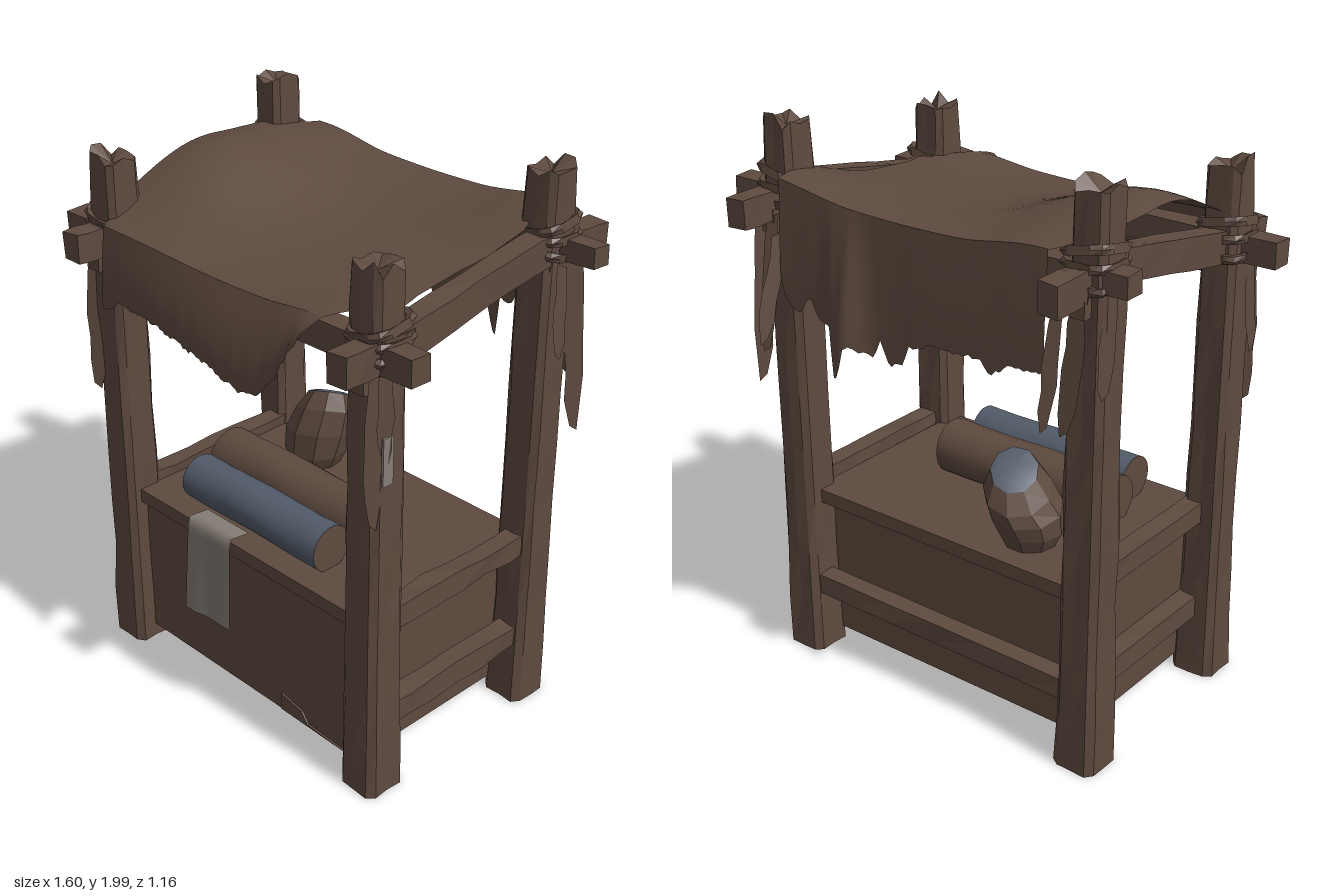
import * as THREE from 'three';

const wood = new THREE.MeshStandardMaterial({ color: 0x5e4a3f, flatShading: true });
const fabric = new THREE.MeshStandardMaterial({ color: 0x5e4a3f, side: THREE.DoubleSide });
const blueCloth = new THREE.MeshStandardMaterial({ color: 0x525b69, side: THREE.DoubleSide });
const greyCloth = new THREE.MeshStandardMaterial({ color: 0x857d74, side: THREE.DoubleSide });
wood.name = 'brown wood';
fabric.name = 'brown cloth';
blueCloth.name = 'blue cloth';
greyCloth.name = 'grey cloth';

const { lerp, clamp, smoothstep } = THREE.MathUtils;

// Repeatable noise in -1..1 that depends only on position
function noise(a, b, c) {
  const s = Math.sin(a * 127.1 + b * 311.7 + c * 74.7) * 43758.5453;
  return (s - Math.floor(s)) * 2 - 1;
}

function reshape(geo, rule) {
  const p = geo.attributes.position, v = new THREE.Vector3();
  for (let i = 0; i < p.count; i++) {
    v.fromBufferAttribute(p, i);
    rule(v);
    p.setXYZ(i, v.x, v.y, v.z);
  }
  geo.computeVertexNormals();
  return geo;
}

// Interpolates a list of [x, y] pairs
function along(pts, x) {
  for (let i = 1; i < pts.length; i++) {
    if (x <= pts[i][0]) {
      const [a, b] = [pts[i - 1], pts[i]];
      return lerp(a[1], b[1], clamp((x - a[0]) / (b[0] - a[0]), 0, 1));
    }
  }
  return pts[pts.length - 1][1];
}

export function createModel() {
  const model = new THREE.Group();
  const add = (name, geo, mat = wood, x = 0, y = 0, z = 0) => {
    const m = new THREE.Mesh(geo, mat);
    m.name = name;
    m.position.set(x, y, z);
    model.add(m);
    return m;
  };

  // Rough post: chamfered square section, flared foot, splintered top
  function post(name, foot, top, height) {
    const geo = new THREE.CylinderGeometry(1, 1, height, 12, 10).translate(0, height / 2, 0);
    reshape(geo, (v) => {
      const k = Math.round(Math.atan2(v.z, v.x) / (Math.PI / 6) + 12) % 12;
      const centre = Math.hypot(v.x, v.z) < 0.01;
      const t = v.y / height, n = noise(k, Math.round(t * 10), foot[0] + foot[1]);
      const w = along([[0, 0.079], [0.1, 0.077], [0.2, 0.071], [0.8, 0.067], [1, 0.06]], t) + n * 0.004;
      if (t > 0.99) v.y -= centre ? 0.06 : 0.03 * (1 + n);
      v.x = lerp(foot[0], top[0], t) + clamp(v.x * 1.4, -1, 1) * w;
      v.z = lerp(foot[1], top[1], t) + clamp(v.z * 1.4, -1, 1) * w;
    });
    add(name, geo);
  }
  post('frontRightPost', [-0.61, 0.376], [-0.61, 0.385], 1.89);
  post('frontLeftPost', [0.592, 0.376], [0.6, 0.385], 1.89);
  post('backRightPost', [-0.61, -0.348], [-0.622, -0.352], 2.0);
  post('backLeftPost', [0.592, -0.348], [0.608, -0.352], 1.99);

  // Hewn beam between two points
  function beam(name, a, b, w, h) {
    const from = new THREE.Vector3(...a), to = new THREE.Vector3(...b);
    const geo = new THREE.BoxGeometry(w, h, from.distanceTo(to), 1, 1, 6);
    reshape(geo, (v) => {
      const n = noise(Math.sign(v.x) + a[0], Math.sign(v.y) + a[1], Math.round(v.z * 50));
      v.x += n * 0.004;
      v.y += n * 0.005;
    });
    const m = add(name, geo);
    m.position.copy(from).add(to).multiplyScalar(0.5);
    m.lookAt(to);
  }
  beam('frontBeam', [-0.8, 1.585, 0.405], [0.79, 1.585, 0.405], 0.08, 0.09);
  beam('backBeam', [-0.76, 1.705, -0.375], [0.8, 1.705, -0.375], 0.075, 0.07);
  for (const [side, x] of [['right', -0.605], ['left', 0.63]]) {
    beam(side + 'RoofBeam', [x, 1.585, 0.38], [x, 1.72, -0.36], 0.075, 0.105);
    beam(side + 'FrontBeamEnd', [x, 1.59, 0.3], [x, 1.59, 0.575], 0.075, 0.1);
    beam(side + 'BackBeamEnd', [x, 1.685, -0.3], [x, 1.682, -0.575], 0.075, 0.1);
    beam(side + 'UpperRail', [x * 0.96, 0.64, 0.36], [x * 0.96, 0.64, -0.34], 0.07, 0.075);
    beam(side + 'LowerRail', [x * 0.96, 0.27, 0.36], [x * 0.96, 0.27, -0.34], 0.07, 0.08);
  }
  beam('backLowerRail', [-0.6, 0.27, -0.36], [0.6, 0.27, -0.36], 0.07, 0.075);

  // Rope lashings pulled tight around the squarish posts
  for (const sx of [-1, 1]) {
    for (const [z, y] of [[0.382, 1.62], [-0.352, 1.73]]) {
      [-0.035, 0.01, 0.045].forEach((dy, i) => {
        const geo = reshape(new THREE.TorusGeometry(0.09, 0.016, 5, 16), (v) => {
          v.x = clamp(v.x, -0.087, 0.087);
          v.y = clamp(v.y, -0.087, 0.087);
        });
        const rope = add('lashing', geo, wood, sx * 0.61, y + dy, z);
        rope.rotation.set(Math.PI / 2 + 0.18 * (i - 1), 0.2 * (i - 1) * sx, 0);
      });
      add('lashingKnot', new THREE.BoxGeometry(0.055, 0.08, 0.05), wood, sx * 0.617, y - 0.1, z + Math.sign(z) * 0.075);
    }
  }

  // Counter with a top overhanging the recessed back
  add('counterBody', new THREE.BoxGeometry(1.08, 0.54, 0.68), wood, -0.005, 0.32, 0.04);
  add('counterTop', new THREE.BoxGeometry(1.12, 0.05, 0.77), wood, -0.005, 0.613, 0.02);
  const patch = new THREE.Shape([[0.17, 0.055], [0.17, 0.12], [0.27, 0.1], [0.3, 0.06], [0.49, 0.05]]
    .map((p) => new THREE.Vector2(...p)).reverse());
  add('brokenBoard', new THREE.ExtrudeGeometry(patch, { depth: 0.008, bevelEnabled: false }), wood, 0, 0, 0.38);

  // Cloth sheet from a rule giving a point for u, v in 0..1
  function sheet(name, nu, nv, mat, rule) {
    const geo = new THREE.PlaneGeometry(1, 1, nu, nv);
    reshape(geo, (v) => v.set(...rule(v.x + 0.5, 0.5 - v.y)));
    return add(name, geo, mat);
  }

  // Canopy: sagging middle, raised hump at the right, torn left edge
  const canopyY = (x, z) => 1.705 - 0.1 * Math.max(z, -0.38)
    + 0.135 * Math.exp(-(((x + 0.52) / 0.33) ** 2)) * Math.max(0, Math.cos(Math.PI * (z - 0.01) / 0.95)) ** 1.7
    + 0.02 * smoothstep(-z, 0.05, 0.36)
    + 0.04 * smoothstep(x, 0.2, 0.6) * smoothstep(-z, 0, 0.4)
    + 0.03 * smoothstep(-x, 0.2, 0.5) * smoothstep(-z, 0.1, 0.4)
    + 0.02 * smoothstep(x, 0.2, 0.5) * smoothstep(z, 0.2, 0.45)
    - 0.012 * Math.exp(-((x / 0.3) ** 2));
  const leftEdge = [[-0.5, 0.52], [-0.4, 0.55], [-0.25, 0.6], [0, 0.57], [0.2, 0.58], [0.28, 0.6], [0.36, 0.54], [0.48, 0.48]];
  const rightEdge = [[-0.5, -0.54], [-0.3, -0.63], [0.3, -0.63], [0.48, -0.55]];
  sheet('canopyTop', 28, 24, fabric, (u, v) => {
    const z = lerp(-0.485, 0.48, v);
    const x = lerp(along(rightEdge, z), along(leftEdge, z), u);
    return [x, canopyY(x, z), z];
  });

  // Hanging flaps with torn hems
  function flap(name, x0, x1, z0, hem, outward) {
    sheet(name, 72, 8, fabric, (u, v) => {
      const x = lerp(x0, x1, u), yTop = canopyY(x, z0);
      const y = lerp(yTop, along(hem, x) + 0.008 * noise(Math.round(u * 72), 3, z0) * v, v);
      return [x, y, z0 + Math.sign(z0) * outward(x) * Math.sin(v * Math.PI / 2)];
    });
  }
  flap('frontFlap', -0.55, 0.48, 0.48,
    [[-0.55, 1.37], [-0.5, 1.38], [-0.46, 1.42], [-0.3, 1.42], [0, 1.39], [0.2, 1.36], [0.28, 1.38], [0.36, 1.46],
      [0.42, 1.56], [0.48, 1.64]],
    (x) => 0.025 + 0.065 * smoothstep(x, -0.6, 0.4));
  flap('backFlap', -0.54, 0.52, -0.485,
    [[-0.54, 1.42], [-0.4, 1.4], [-0.34, 1.36], [-0.3, 1.4], [-0.12, 1.39], [-0.02, 1.36], [0, 1.3], [0.06, 1.28],
      [0.09, 1.36], [0.12, 1.3], [0.21, 1.32], [0.235, 1.2], [0.26, 1.21], [0.28, 1.36], [0.36, 1.37], [0.39, 1.44],
      [0.44, 1.36], [0.5, 1.4], [0.52, 1.46]],
    (x) => 0.016 + 0.055 * Math.exp(-(((x - 0.23) / 0.07) ** 2)));

  // Torn strips hanging from the joints: x, z, top, length, width, turn, lean in x and z
  const strips = [
    [-0.66, 0.445, 1.55, 0.51, 0.065, 0.6, 0, 0.02],
    [-0.68, 0.41, 1.56, 0.32, 0.05, 1.4, -0.02, 0.02],
    [-0.69, -0.38, 1.66, 0.3, 0.06, 1.2, 0, -0.03],
    [-0.62, -0.44, 1.66, 0.42, 0.07, 0.1, 0.02, -0.04],
    [-0.57, -0.47, 1.65, 0.38, 0.05, 0.4, 0, -0.07],
    [0.68, -0.41, 1.66, 0.6, 0.07, 1.2, 0.01, -0.03],
    [0.68, -0.34, 1.66, 0.3, 0.06, 1.5, 0.02, 0.01],
    [0.6, -0.45, 1.66, 0.45, 0.06, 0.3, 0, -0.06],
    [0.54, -0.48, 1.62, 0.35, 0.06, 0.9, 0, -0.09],
    [0.68, 0.42, 1.58, 0.3, 0.05, 1.0, 0.01, 0.02],
    [0.66, 0.45, 1.55, 0.5, 0.06, 1.3, 0, 0.01],
  ];
  strips.forEach(([x, z, top, len, w, turn, lx, lz]) => sheet('tornStrip', 2, 6, fabric, (u, v) => {
    const taper = along([[0, 0.7], [0.5, 1], [0.85, 0.85], [1, 0.4]], v);
    const s = (u - 0.5) * w * taper + 0.006 * noise(Math.round(v * 6), x, z);
    return [x + s * Math.cos(turn) + lx * v, top - len * v - 0.02 * u, z - s * Math.sin(turn) + lz * v];
  }));
  add('greyStrip', new THREE.BoxGeometry(0.008, 0.16, 0.042), greyCloth, 0.692, 1.27, 0.428);

  // Grey cloth draped over the counter edge
  const drape = [[0, 0.33, 0.647], [0.15, 0.408, 0.652], [0.2, 0.416, 0.62], [1, 0.428, 0.275]];
  sheet('drapedCloth', 8, 20, greyCloth, (u, v) => [
    lerp(lerp(-0.26, -0.285, v), -0.045, u),
    along(drape.map((d) => [d[0], d[2]]), v) + 0.02 * u * v,
    along(drape.map((d) => [d[0], d[1]]), v) + 0.004 * Math.sin(u * 9) * v,
  ]);

  // Rolled bolts on the counter, each drawn over an arc of its circumference
  function bolt(name, x0, x1, y, z, r, mats, start = 0, arc = Math.PI * 2) {
    const geo = new THREE.CylinderGeometry(r, r, x1 - x0, 18, 6, false, start, arc).rotateZ(Math.PI / 2);
    reshape(geo, (v) => {
      const bump = 1 + 0.025 * Math.sin(v.x * 14 + v.y * 30);
      v.y *= bump;
      v.z *= bump;
    });
    add(name, geo, mats, (x0 + x1) / 2, y, z);
  }
  const brown = [fabric, fabric, fabric], underStart = -2.15, underArc = 1.4;
  bolt('blueBolt', -0.37, 0.29, 0.712, 0.265, 0.082, [blueCloth, fabric, fabric], underStart + underArc, Math.PI * 2 - underArc);
  bolt('blueBoltUnderside', -0.37, 0.29, 0.712, 0.265, 0.082, brown, underStart, underArc);
  bolt('brownBolt', -0.42, 0.29, 0.713, 0.08, 0.098, brown);

  // Lumpy sack whose blue top slopes down to the back
  const slant = (v) => {
    const k = smoothstep(v.y, 0.05, 0.26);
    v.y += k * (0.3 * v.x + 0.5 * v.z);
    v.x += 0.035 * k;
    v.z -= 0.04 * k;
  };
  const lathe = (pts) => reshape(new THREE.LatheGeometry(pts.map((p) => new THREE.Vector2(...p)), 9), slant);
  add('sack', lathe([[0, 0], [0.09, 0], [0.115, 0.05], [0.128, 0.13], [0.115, 0.2], [0.08, 0.265]]), wood, -0.27, 0.64, -0.2);
  add('sackTop', lathe([[0.08, 0.265], [0.05, 0.275], [0, 0.275]]), blueCloth, -0.27, 0.64, -0.2);

  return model;
}
